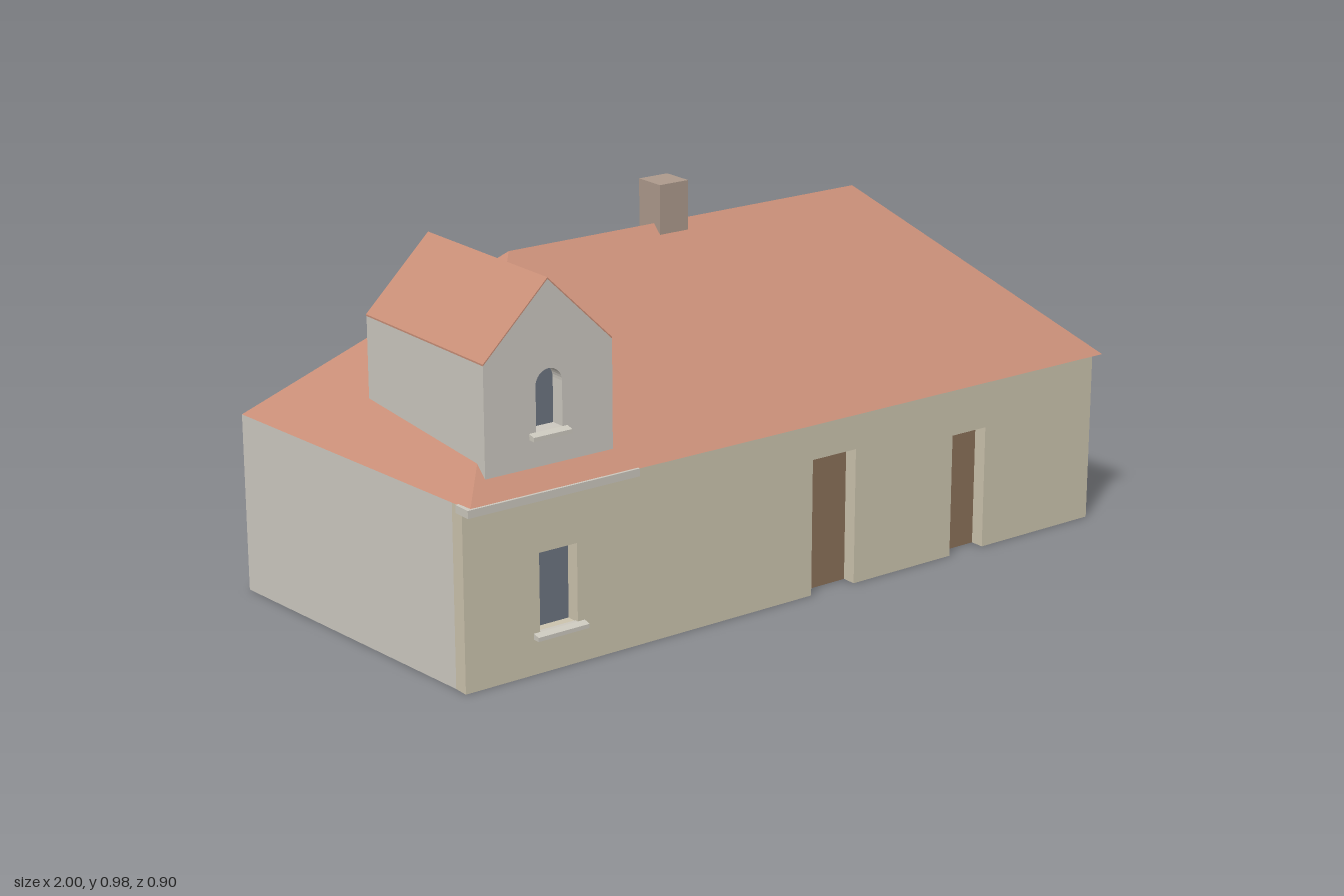
import * as THREE from 'three';
import { ConvexGeometry } from 'three/addons/geometries/ConvexGeometry.js';

const mat = (color) => new THREE.MeshStandardMaterial({ color, flatShading: true });
const shapeOf = (pts) => new THREE.Shape(pts.map(([x, y]) => new THREE.Vector2(x, y)));

export function createModel() {
  const house = new THREE.Group();
  house.name = 'house';
  const plaster = mat(0xccc8c0), frontPlaster = mat(0xccc4ae), tile = mat(0xc98f78);
  const wood = mat(0x8a7058), glass = mat(0x6c7480), brick = mat(0xad9a8c), stone = mat(0xccc8be);

  const add = (name, geometry, material) => {
    const mesh = new THREE.Mesh(geometry, material);
    mesh.name = name;
    house.add(mesh);
    return mesh;
  };
  // Box given by its extents
  const box = (name, material, x0, x1, y0, y1, z0, z1) =>
    add(name, new THREE.BoxGeometry(x1 - x0, y1 - y0, z1 - z0), material)
      .position.set((x0 + x1) / 2, (y0 + y1) / 2, (z0 + z1) / 2);
  // Front-facing outline extruded between two depths
  const slab = (name, material, shape, z0, z1) =>
    add(name, new THREE.ExtrudeGeometry(shape, { depth: z1 - z0, bevelEnabled: false, curveSegments: 8 })
      .translate(0, 0, z0), material);
  // Window sill with a sloping top
  const sill = (name, x0, x1, y, z) => {
    const profile = shapeOf([[z - 0.01, y - 0.015], [z + 0.018, y - 0.015], [z + 0.018, y - 0.005], [z, y], [z - 0.01, y]]);
    const g = new THREE.ExtrudeGeometry(profile, { depth: x1 - x0, bevelEnabled: false });
    add(name, g.rotateY(-Math.PI / 2).translate(x1, 0, 0), stone);
  };

  // House body on a slightly skewed plan
  const plan = shapeOf([[-0.93, -0.37], [1, -0.37], [0.95, 0.38], [-1, 0.45]]);
  add('houseBody', new THREE.ExtrudeGeometry(plan, { depth: 0.453, bevelEnabled: false })
    .rotateX(-Math.PI / 2), plaster);

  // Front wall with two door notches and a window opening
  const doors = [[0.075, 0.21, 0.35], [0.525, 0.635, 0.32]];
  const outline = [[-0.93, 0]];
  for (const [x0, x1, h] of doors) outline.push([x0, 0], [x0, h], [x1, h], [x1, 0]);
  outline.push([1, 0], [1, 0.453], [-0.93, 0.453]);
  const wall = shapeOf(outline);
  wall.holes.push(shapeOf([[-0.725, 0.1], [-0.725, 0.295], [-0.62, 0.295], [-0.62, 0.1]]));
  slab('frontWall', frontPlaster, wall, 0.37, 0.41);
  doors.forEach(([x0, x1, h], i) => box(`door${i + 1}`, wood, x0, x1, 0, h, 0.365, 0.373));
  box('windowPane', glass, -0.725, -0.62, 0.1, 0.295, 0.365, 0.373);
  sill('windowSill', -0.742, -0.6, 0.102, 0.41);

  // Hipped roof
  add('mainRoof', new ConvexGeometry([
    [-0.93, 0.453, 0.445], [1, 0.453, 0.445], [0.95, 0.453, -0.45], [-1, 0.453, -0.45],
    [-0.52, 0.88, 0], [0.53, 0.88, 0],
  ].map((p) => new THREE.Vector3(...p))), tile);
  box('eaveBoard', stone, -0.94, -0.47, 0.436, 0.455, 0.4, 0.45);
  box('chimney', brick, -0.096, -0.011, 0.78, 0.98, -0.06, 0.025);

  // Dormer: gabled body, front wall with an arched opening, roof skin
  const cx = -0.685, half = 0.175, eave = 0.765, peak = 0.935, skin = 0.004;
  const gable = () => shapeOf([[cx - half, 0.497], [cx + half, 0.497], [cx + half, eave - skin],
    [cx, peak - skin], [cx - half, eave - skin]]);
  const arch = () => new THREE.Shape().moveTo(cx - 0.036, 0.58).lineTo(cx + 0.036, 0.58)
    .lineTo(cx + 0.036, 0.688).absarc(cx, 0.688, 0.036, 0, Math.PI, false);
  slab('dormerBody', plaster, gable(), -0.088, 0.36);
  const dormerFront = gable();
  dormerFront.holes.push(arch());
  slab('dormerFront', plaster, dormerFront, 0.36, 0.4);
  slab('dormerPane', glass, arch(), 0.355, 0.363);
  sill('dormerSill', -0.74, -0.635, 0.58, 0.4);
  slab('dormerRoof', tile, shapeOf([[cx - half, eave - skin], [cx, peak - skin], [cx + half, eave - skin],
    [cx + half, eave], [cx, peak], [cx - half, eave]]), -0.09, 0.4);

  return house;
}
